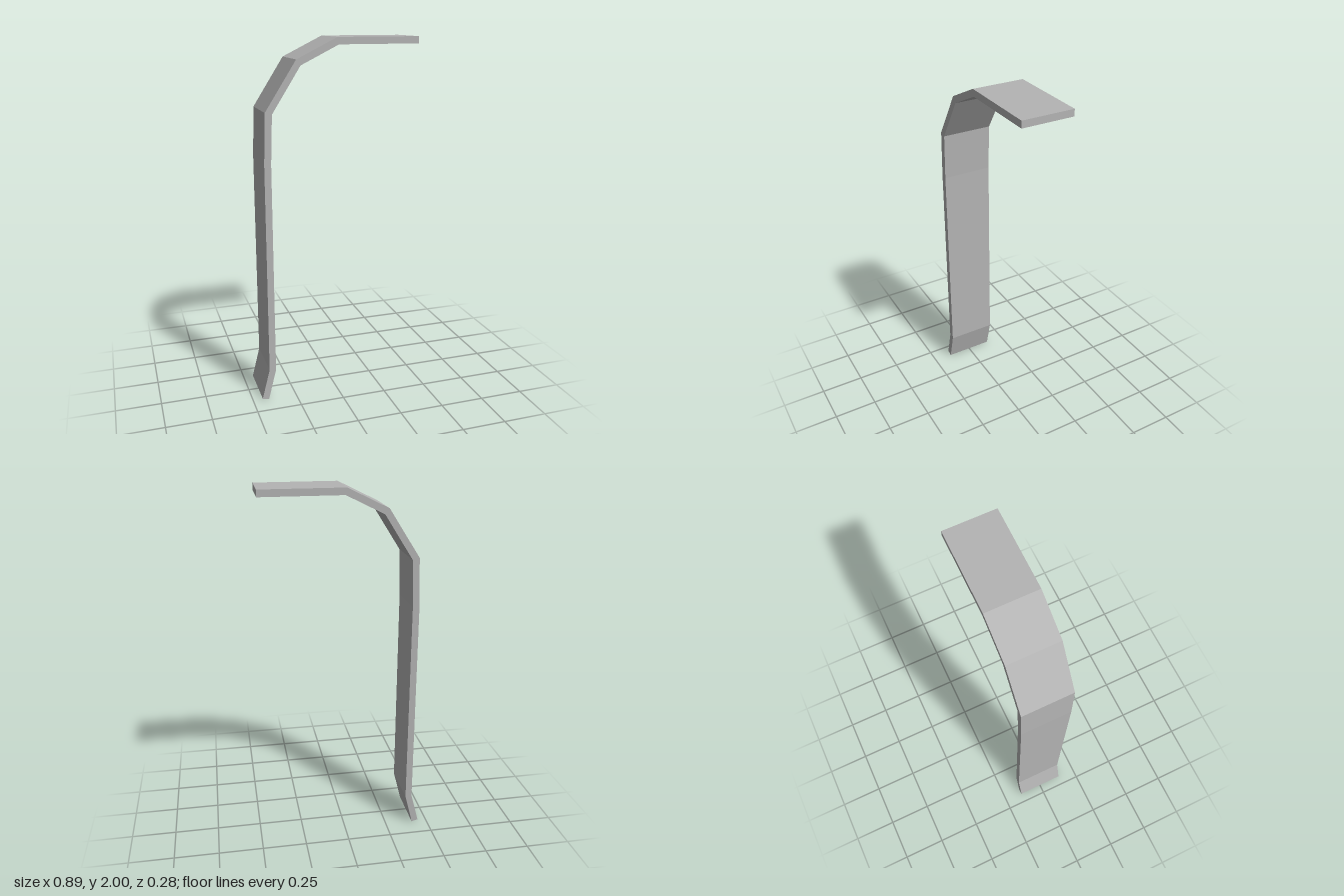
import * as THREE from 'three';

export function createModel() {
  const group = new THREE.Group();
  group.name = 'bentBracket';
  const greyMetal = new THREE.MeshStandardMaterial({ color: 0xb4b4b4 });
  greyMetal.name = 'grey metal';

  // Side profile of the bent strip: outer edge up, inner edge back down
  const outer = [[-0.447, 0.01], [-0.403, 0.185], [-0.403, 1.36], [-0.393, 1.63],
    [-0.225, 1.892], [-0.005, 2], [0.447, 2]];
  const inner = [[0.447, 1.963], [0.003, 1.963], [-0.202, 1.862], [-0.356, 1.62],
    [-0.366, 1.36], [-0.366, 0.18], [-0.411, 0]];
  const profile = new THREE.Shape([...outer, ...inner].map(([x, y]) => new THREE.Vector2(x, y)));

  // Flat strip extruded across its width, with sharp bends
  const width = 0.28;
  const geometry = new THREE.ExtrudeGeometry(profile, { depth: width, bevelEnabled: false });
  geometry.translate(0, 0, -width / 2);
  const strip = new THREE.Mesh(geometry, greyMetal);
  strip.name = 'bentStrip';
  group.add(strip);
  return group;
}
